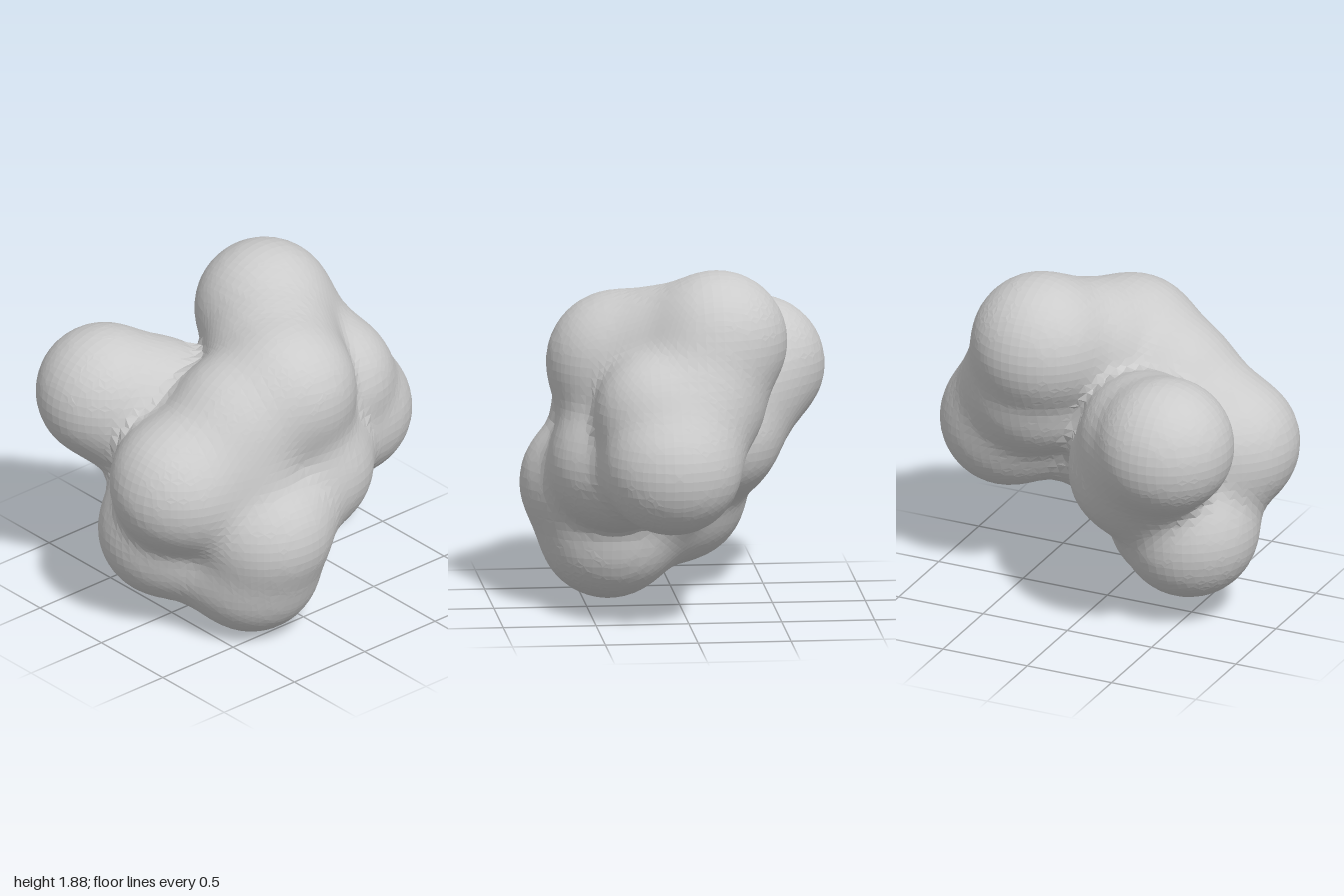
import * as THREE from 'three';

// Overlapping balls of the cluster: centre x, y, z and radius
const balls = {
  top: [0.31, 1.505, -0.17, 0.345],
  topBridge: [0.13, 1.40, 0.09, 0.34],
  side: [0.63, 0.89, 0.10, 0.35],
  upperSide: [0.49, 1.15, 0.16, 0.34],
  innerSide: [0.38, 1.18, -0.06, 0.35],
  front: [0.01, 1.34, 0.335, 0.335],
  armBridge: [-0.26, 1.215, 0.25, 0.345],
  leftArm: [-0.63, 0.94, 0.21, 0.34],
  chest: [-0.30, 0.97, 0.31, 0.34],
  middle: [0.14, 0.82, 0.34, 0.35],
  lowFront: [-0.25, 0.63, 0.46, 0.35],
  bottom: [-0.25, 0.37, 0.36, 0.345],
  lowCore: [-0.22, 0.62, 0.14, 0.34],
  lowBack: [-0.50, 0.51, -0.03, 0.35],
  back: [-0.57, 1.19, -0.47, 0.34],
  backMiddle: [-0.36, 1.13, -0.29, 0.345],
  backNeck: [-0.28, 0.88, -0.20, 0.345],
  core: [-0.10, 0.98, 0.12, 0.35],
};

// Thick necks joining neighbouring balls: ends and radius
const necks = [
  ['top', 'side', 0.335], ['top', 'front', 0.335], ['front', 'leftArm', 0.345],
  ['leftArm', 'lowBack', 0.29], ['lowBack', 'bottom', 0.33], ['bottom', 'lowFront', 0.33],
  ['leftArm', 'lowFront', 0.29], ['lowFront', 'middle', 0.31], ['back', 'backNeck', 0.345],
  ['backNeck', 'lowBack', 0.31], ['middle', 'side', 0.29], ['front', 'middle', 0.32],
].map(([a, b, r]) => ({
  line: new THREE.Line3(new THREE.Vector3(...balls[a]), new THREE.Vector3(...balls[b])), r,
}));
const spheres = Object.values(balls).map(([x, y, z, r]) => ({ c: new THREE.Vector3(x, y, z), r }));

// Smoothly blended distance to the whole cluster
const BLEND = 0.035;
const near = new THREE.Vector3();
function distance(p) {
  let sum = 0;
  for (const s of spheres) sum += Math.exp((s.r - p.distanceTo(s.c)) / BLEND);
  for (const n of necks) {
    n.line.closestPointToPoint(p, true, near);
    sum += Math.exp((n.r - p.distanceTo(near)) / BLEND);
  }
  return -BLEND * Math.log(sum);
}

// Slide a point onto the surface along the slope of the distance
function settle(p) {
  const e = 0.004;
  const q = new THREE.Vector3();
  const g = new THREE.Vector3();
  const d = distance(p);
  for (let a = 0; a < 3; a++) {
    const hi = distance(q.copy(p).setComponent(a, p.getComponent(a) + e));
    const lo = distance(q.copy(p).setComponent(a, p.getComponent(a) - e));
    g.setComponent(a, (hi - lo) / (2 * e));
  }
  const step = THREE.MathUtils.clamp(d / Math.max(g.lengthSq(), 0.5), -0.015, 0.015);
  return p.addScaledVector(g, -step);
}

// Skin the blended distance with one vertex per crossed grid cell
function skin(cell) {
  const min = new THREE.Vector3(-1.15, -0.15, -1.0);
  const n = [2.3, 2.2, 2.0].map((s) => Math.ceil(s / cell));
  const stride = [1, n[0] + 1, (n[0] + 1) * (n[1] + 1)];
  const at = (i, j, k) => i + j * stride[1] + k * stride[2];
  const point = (i, j, k) => new THREE.Vector3(i, j, k).multiplyScalar(cell).add(min);
  const value = new Float32Array(stride[2] * (n[2] + 1));
  for (let k = 0; k <= n[2]; k++)
    for (let j = 0; j <= n[1]; j++)
      for (let i = 0; i <= n[0]; i++) value[at(i, j, k)] = distance(point(i, j, k));

  const positions = [];
  const vertexOf = new Map();
  const vertex = (id) => {
    if (!vertexOf.has(id)) {
      const k = Math.floor(id / stride[2]);
      const j = Math.floor((id % stride[2]) / stride[1]);
      const i = id % stride[1];
      // average of the crossings on the cell's edges
      const mean = new THREE.Vector3();
      let count = 0;
      for (let c = 0; c < 8; c++) {
        const o = [c & 1, (c >> 1) & 1, c >> 2];
        for (let a = 0; a < 3; a++) {
          if (o[a]) continue;
          const p = [i + o[0], j + o[1], k + o[2]];
          const d0 = value[at(...p)];
          const d1 = value[at(...p) + stride[a]];
          if (d0 < 0 === d1 < 0) continue;
          p[a] += d0 / (d0 - d1);
          mean.add(point(...p));
          count++;
        }
      }
      const v = settle(mean.divideScalar(count));
      vertexOf.set(id, positions.length / 3);
      positions.push(v.x, v.y, v.z);
    }
    return vertexOf.get(id);
  };

  // one quad around every grid edge that passes through the surface
  const index = [];
  for (let k = 1; k < n[2]; k++)
    for (let j = 1; j < n[1]; j++)
      for (let i = 1; i < n[0]; i++)
        for (let a = 0; a < 3; a++) {
          const id = at(i, j, k);
          const inside = value[id] < 0;
          if (inside === value[id + stride[a]] < 0) continue;
          const u = stride[(a + 1) % 3];
          const v = stride[(a + 2) % 3];
          const q = [id, id - u, id - u - v, id - v].map(vertex);
          if (!inside) q.reverse();
          index.push(q[0], q[1], q[2], q[0], q[2], q[3]);
        }
  const geometry = new THREE.BufferGeometry();
  geometry.setAttribute('position', new THREE.Float32BufferAttribute(positions, 3));
  geometry.setIndex(index);
  geometry.computeVertexNormals();
  return geometry;
}

export function createModel() {
  const group = new THREE.Group();
  group.name = 'blobCluster';
  const material = new THREE.MeshStandardMaterial({ color: 0xcccccc, flatShading: true });
  const surface = new THREE.Mesh(skin(0.05), material);
  surface.name = 'lobedSurface';
  group.add(surface);
  return group;
}
